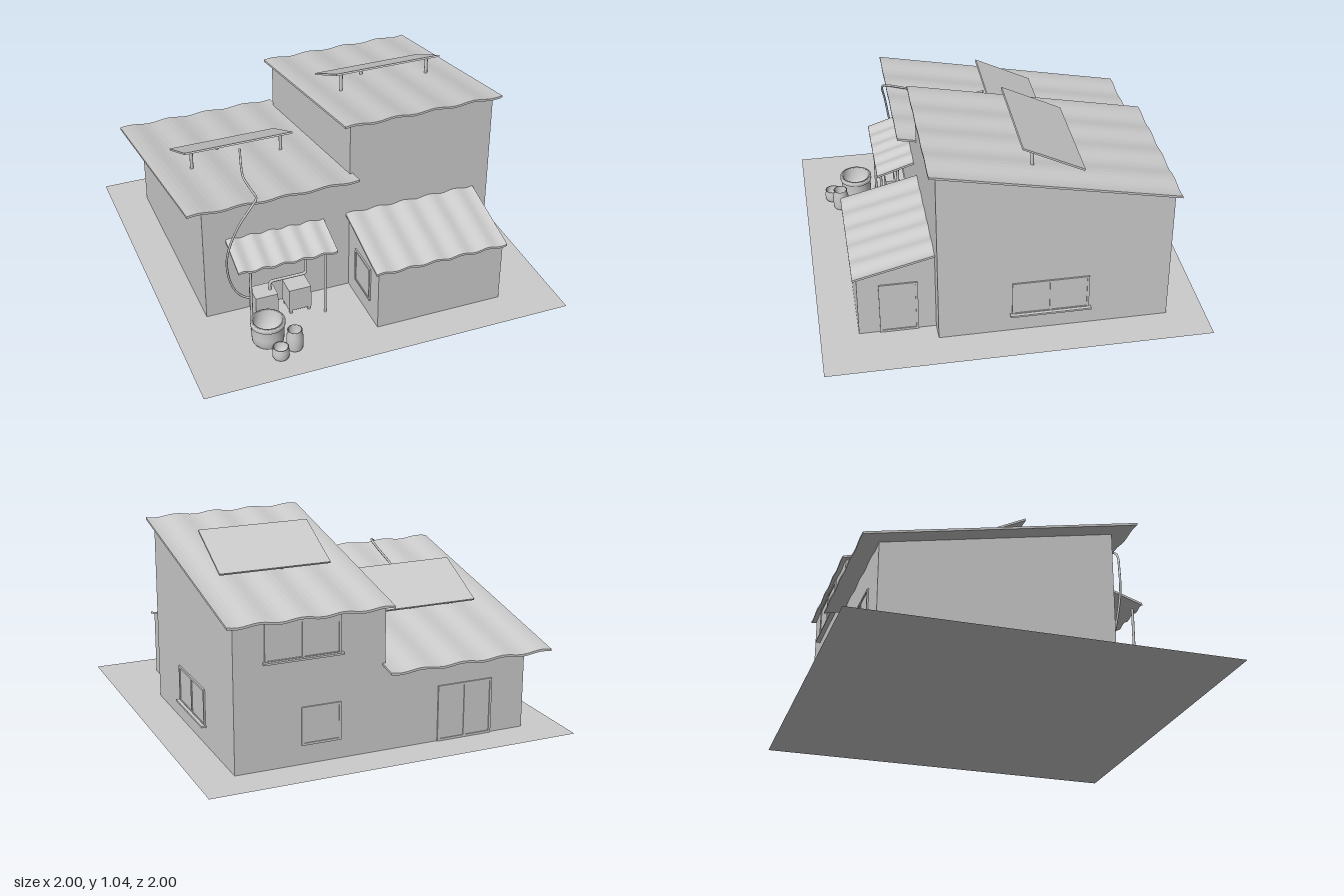
import * as THREE from 'three';

const grey = new THREE.MeshStandardMaterial({ color: 0xcccccc });
const greyDouble = new THREE.MeshStandardMaterial({ color: 0xcccccc, side: THREE.DoubleSide });

function add(parent, name, geometry, x = 0, y = 0, z = 0, material = grey) {
  const mesh = new THREE.Mesh(geometry, material);
  mesh.name = name;
  mesh.position.set(x, y, z);
  parent.add(mesh);
  return mesh;
}

// Wall block with a sloping top: height = base + slope * z
function walls(parent, name, x0, x1, z0, z1, base, slope) {
  const side = new THREE.Shape([
    new THREE.Vector2(z0, 0), new THREE.Vector2(z1, 0),
    new THREE.Vector2(z1, base + slope * z1), new THREE.Vector2(z0, base + slope * z0),
  ]);
  const g = new THREE.ExtrudeGeometry(side, { depth: x1 - x0, bevelEnabled: false });
  g.rotateY(-Math.PI / 2);
  add(parent, name, g, x1);
}

// Corrugated sheet: a wavy strip extruded along z, then sheared to its slope
function roof(parent, name, x0, x1, z0, z1, base, slope, waves) {
  const steps = waves * 8, amp = 0.006, half = 0.006;
  const top = [], bottom = [];
  for (let i = 0; i <= steps; i++) {
    const x = x0 + (x1 - x0) * i / steps;
    const y = amp * Math.sin(i / 8 * Math.PI * 2);
    bottom.push(new THREE.Vector2(x, y - half));
    top.unshift(new THREE.Vector2(x, y + half));
  }
  const g = new THREE.ExtrudeGeometry(new THREE.Shape([...bottom, ...top]), { depth: z1 - z0, bevelEnabled: false });
  g.translate(0, 0, z0);
  const p = g.attributes.position;
  for (let i = 0; i < p.count; i++) p.setY(i, p.getY(i) + base + slope * p.getZ(i));
  g.computeVertexNormals();
  add(parent, name, g);
}

// Framed opening facing +z before turning; panes side by side, optional sill
function opening(parent, name, w, h, panes, sill, x, y, z, turn) {
  const group = new THREE.Group();
  group.name = name;
  const bar = 0.012, frame = new THREE.Shape();
  frame.moveTo(-w / 2, 0).lineTo(w / 2, 0).lineTo(w / 2, h).lineTo(-w / 2, h).closePath();
  const pw = (w - bar * (panes + 1)) / panes;
  for (let i = 0; i < panes; i++) {
    const a = -w / 2 + bar + i * (pw + bar);
    const hole = new THREE.Path();
    hole.moveTo(a, bar).lineTo(a, h - bar).lineTo(a + pw, h - bar).lineTo(a + pw, bar).closePath();
    frame.holes.push(hole);
  }
  add(group, 'frame', new THREE.ExtrudeGeometry(frame, { depth: 0.008, bevelEnabled: false }));
  add(group, 'pane', new THREE.BoxGeometry(w - bar, h - bar, 0.004), 0, h / 2, 0.001);
  if (sill) add(group, 'sill', new THREE.BoxGeometry(w + 0.02, 0.01, 0.025), 0, 0.003, 0.0125);
  group.position.set(x, y, z);
  group.rotation.y = turn;
  parent.add(group);
}

// Tilted solar panel with two front posts and one rear post
function solarPanel(parent, x, roofBase) {
  const group = new THREE.Group();
  group.name = 'solarPanel';
  const panel = add(group, 'panel', new THREE.BoxGeometry(0.6, 0.01, 0.35), 0, 0.037, -0.2);
  panel.rotation.x = -0.457;
  for (const [px, pz, h] of [[-0.25, -0.1, 0.105], [0.25, -0.1, 0.105], [-0.05, -0.3, 0.045]])
    add(group, 'panelPost', new THREE.CylinderGeometry(0.009, 0.009, h, 10), px, 0.2 * pz + h / 2, pz);
  group.position.set(x, roofBase, 0);
  group.traverse(o => { if (o === panel) o.position.y = 0.957 - 0.92; });
  parent.add(group);
}

function tube(parent, name, points, r, smooth) {
  const v = points.map(p => new THREE.Vector3(...p));
  let curve;
  if (smooth) curve = new THREE.CatmullRomCurve3(v);
  else {
    curve = new THREE.CurvePath();
    for (let i = 1; i < v.length; i++) {
      const from = v[i - 1].clone(), to = v[i].clone();
      if (i > 1) from.lerp(v[i], 0.02 / v[i].distanceTo(v[i - 1]));
      if (i < v.length - 1) to.lerp(v[i - 1], 0.02 / v[i].distanceTo(v[i - 1]));
      curve.add(new THREE.LineCurve3(from, to));
      if (i < v.length - 1)
        curve.add(new THREE.QuadraticBezierCurve3(to, v[i], v[i].clone().lerp(v[i + 1], 0.02 / v[i].distanceTo(v[i + 1]))));
    }
  }
  add(parent, name, new THREE.TubeGeometry(curve, 64, r, 8, false), 0, 0, 0, greyDouble);
}

function lathe(parent, name, profile, x, z) {
  const pts = profile.map(p => new THREE.Vector2(...p));
  add(parent, name, new THREE.LatheGeometry(pts, 28), x, 0, z, greyDouble);
}

export function createModel() {
  const model = new THREE.Group();
  model.name = 'house';

  const ground = new THREE.PlaneGeometry(2, 2);
  ground.rotateX(-Math.PI / 2);
  add(model, 'ground', ground, 0, 0, 0, greyDouble);

  // Wall blocks
  walls(model, 'tallWalls', 0, 0.8, -0.8, 0.4, 0.918, 0.2);
  walls(model, 'lowWalls', -0.8, 0, -0.8, 0.4, 0.618, 0.2);
  walls(model, 'shedWalls', 0, 0.7, 0.4, 0.8, 0.553, -0.25);

  // Corrugated roofs and the small awning
  roof(model, 'tallRoof', -0.04, 0.835, -0.825, 0.435, 0.92, 0.2, 4);
  roof(model, 'lowRoof', -0.9, 0.015, -0.9, 0.5, 0.62, 0.2, 4);
  roof(model, 'shedRoof', -0.02, 0.715, 0.4, 0.82, 0.556, -0.25, 5);
  roof(model, 'awning', -0.68, -0.145, 0.4, 0.605, 0.588, -0.33, 5);
  for (const x of [-0.61, -0.205])
    add(model, 'awningPost', new THREE.CylinderGeometry(0.007, 0.007, 0.395, 10), x, 0.1975, 0.58);

  // Windows and doors
  const q = Math.PI / 2;
  opening(model, 'sideWindow', 0.4, 0.2, 2, true, 0.8, 0.1, -0.18, q);
  opening(model, 'upperBackWindow', 0.4, 0.2, 2, true, 0.44, 0.55, -0.8, 2 * q);
  opening(model, 'lowerBackWindow', 0.21, 0.2, 1, false, 0.345, 0.1, -0.8, 2 * q);
  opening(model, 'backDoor', 0.31, 0.3, 2, false, -0.455, 0, -0.8, 2 * q);
  opening(model, 'shedDoor', 0.2, 0.3, 1, false, 0.7, 0, 0.59, q);
  opening(model, 'shedWindow', 0.2, 0.2, 1, false, 0, 0.1, 0.6, -q);

  solarPanel(model, 0.4, 0.92);
  solarPanel(model, -0.45, 0.62);

  // Cable from the low panel over the eaves to the equipment
  tube(model, 'cable', [
    [-0.45, 0.7, -0.04], [-0.48, 0.665, 0.07], [-0.51, 0.68, 0.2], [-0.525, 0.715, 0.38],
    [-0.54, 0.738, 0.495], [-0.575, 0.715, 0.518], [-0.65, 0.58, 0.5], [-0.698, 0.4, 0.475],
    [-0.675, 0.22, 0.45], [-0.62, 0.12, 0.44], [-0.53, 0.08, 0.46],
  ], 0.006, true);

  // Equipment boxes on feet, joined by a pipe
  for (const x of [-0.51, -0.327]) {
    const box = new THREE.Group();
    box.name = 'equipmentBox';
    add(box, 'casing', new THREE.BoxGeometry(0.122, 0.13, 0.11), 0, 0.085, 0);
    for (const sx of [-1, 1]) for (const sz of [-1, 1])
      add(box, 'foot', new THREE.BoxGeometry(0.015, 0.02, 0.015), sx * 0.05, 0.01, sz * 0.045);
    box.position.set(x, 0, 0.48);
    model.add(box);
  }
  tube(model, 'pipe', [[-0.475, 0.14, 0.48], [-0.475, 0.2, 0.48], [-0.275, 0.2, 0.48], [-0.275, 0.42, 0.48]], 0.008, false);

  // Water vessels
  lathe(model, 'largeTub', [[0, 0], [0.07, 0], [0.082, 0.02], [0.086, 0.06], [0.082, 0.11], [0.09, 0.115],
    [0.09, 0.138], [0.074, 0.138], [0.074, 0.03], [0, 0.03]], -0.565, 0.7);
  lathe(model, 'tallJar', [[0, 0], [0.036, 0], [0.043, 0.015], [0.044, 0.08], [0.036, 0.105],
    [0.039, 0.12], [0.033, 0.12], [0.033, 0.02], [0, 0.02]], -0.455, 0.8);
  lathe(model, 'smallJar', [[0, 0], [0.038, 0], [0.044, 0.015], [0.044, 0.045], [0.039, 0.055],
    [0.042, 0.066], [0.035, 0.066], [0.035, 0.015], [0, 0.015]], -0.545, 0.84);

  return model;
}
